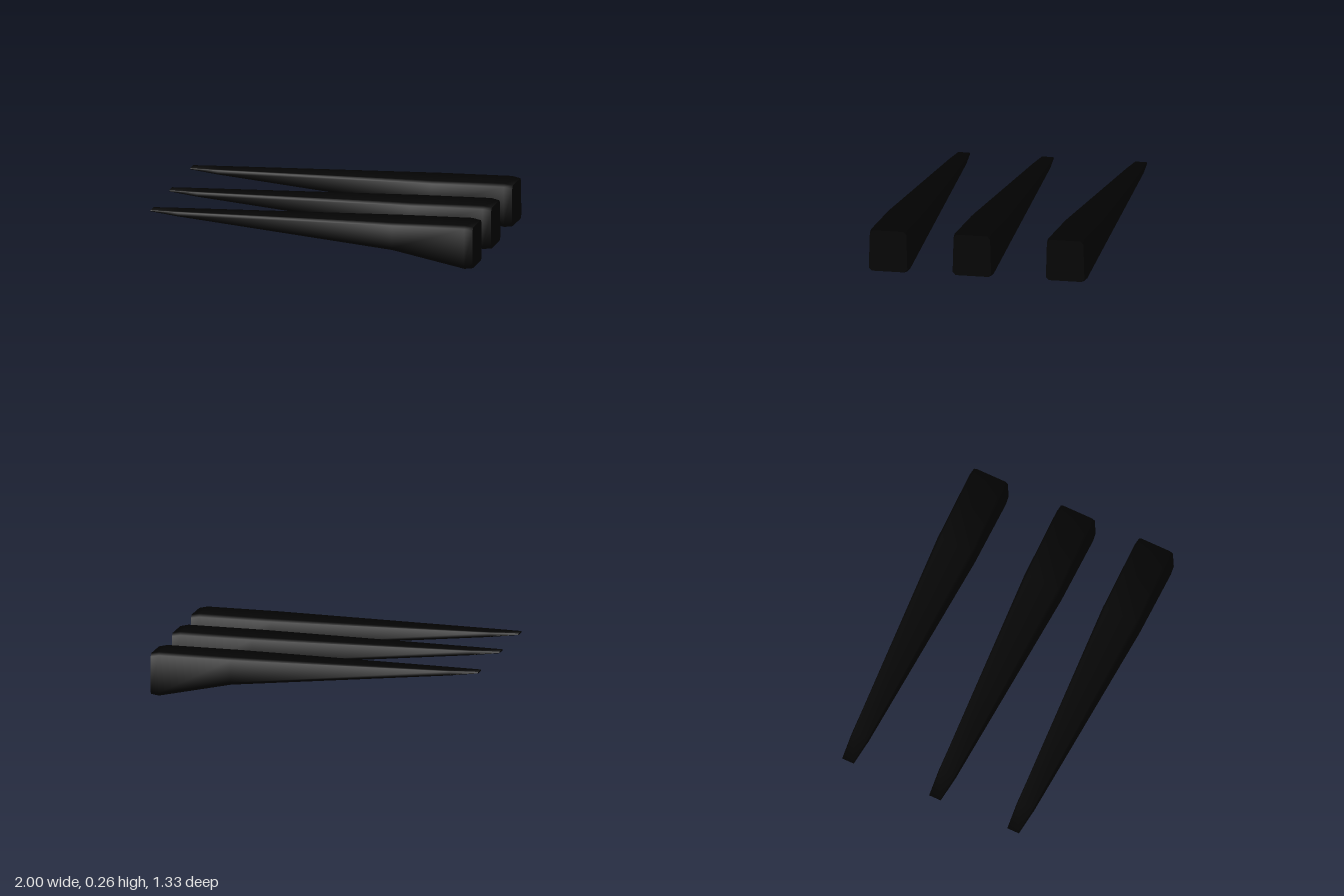
import * as THREE from 'three';
import { toCreasedNormals } from 'three/addons/utils/BufferGeometryUtils.js';

// Cross-sections along the spike: x, bottom y, top y, half width at the foot, half width at the top, bevel
const SECTIONS = [
  [-0.99, 0.225, 0.234, 0.038, 0.036, 0.002],
  [-0.82, 0.207, 0.236, 0.056, 0.052, 0.005],
  [0.5, 0.093, 0.258, 0.127, 0.118, 0.016],
  [0.94, 0.002, 0.265, 0.123, 0.116, 0.018],
  [0.99, 0.008, 0.255, 0.117, 0.111, 0.018],
];

// Bevelled four-sided ring, counter-clockwise seen from +x
function ring([x, lo, hi, foot, top, b]) {
  return [
    [x, lo, foot - b], [x, lo, b - foot], [x, lo + b, -foot], [x, hi - b, -top],
    [x, hi, b - top], [x, hi, top - b], [x, hi - b, top], [x, lo + b, foot],
  ];
}

function spikeGeometry() {
  const n = 8;
  const rings = SECTIONS.map(ring);
  const index = [];
  // Skin between neighbouring rings
  for (let s = 0; s < rings.length - 1; s++) {
    for (let i = 0; i < n; i++) {
      const a = s * n + i, b = s * n + (i + 1) % n;
      index.push(a, b, a + n, b, b + n, a + n);
    }
  }
  // Flat end caps
  const last = (rings.length - 1) * n;
  for (let i = 1; i < n - 1; i++) {
    index.push(0, i + 1, i);
    index.push(last, last + i, last + i + 1);
  }
  const geometry = new THREE.BufferGeometry();
  geometry.setAttribute('position', new THREE.Float32BufferAttribute(rings.flat(2), 3));
  geometry.setIndex(index);
  return toCreasedNormals(geometry, Math.PI / 3);
}

export function createModel() {
  const group = new THREE.Group();
  group.name = 'spikes';
  const black = new THREE.MeshStandardMaterial({ color: 0x020202 });
  black.name = 'black';

  // Three equal spikes side by side, each slightly staggered
  const geometry = spikeGeometry();
  const places = [['backSpike', -0.01, -0.537], ['middleSpike', 0, 0.028], ['frontSpike', 0.01, 0.535]];
  for (const [name, x, z] of places) {
    const spike = new THREE.Mesh(geometry, black);
    spike.name = name;
    spike.position.set(x, -0.002, z);
    group.add(spike);
  }
  return group;
}
